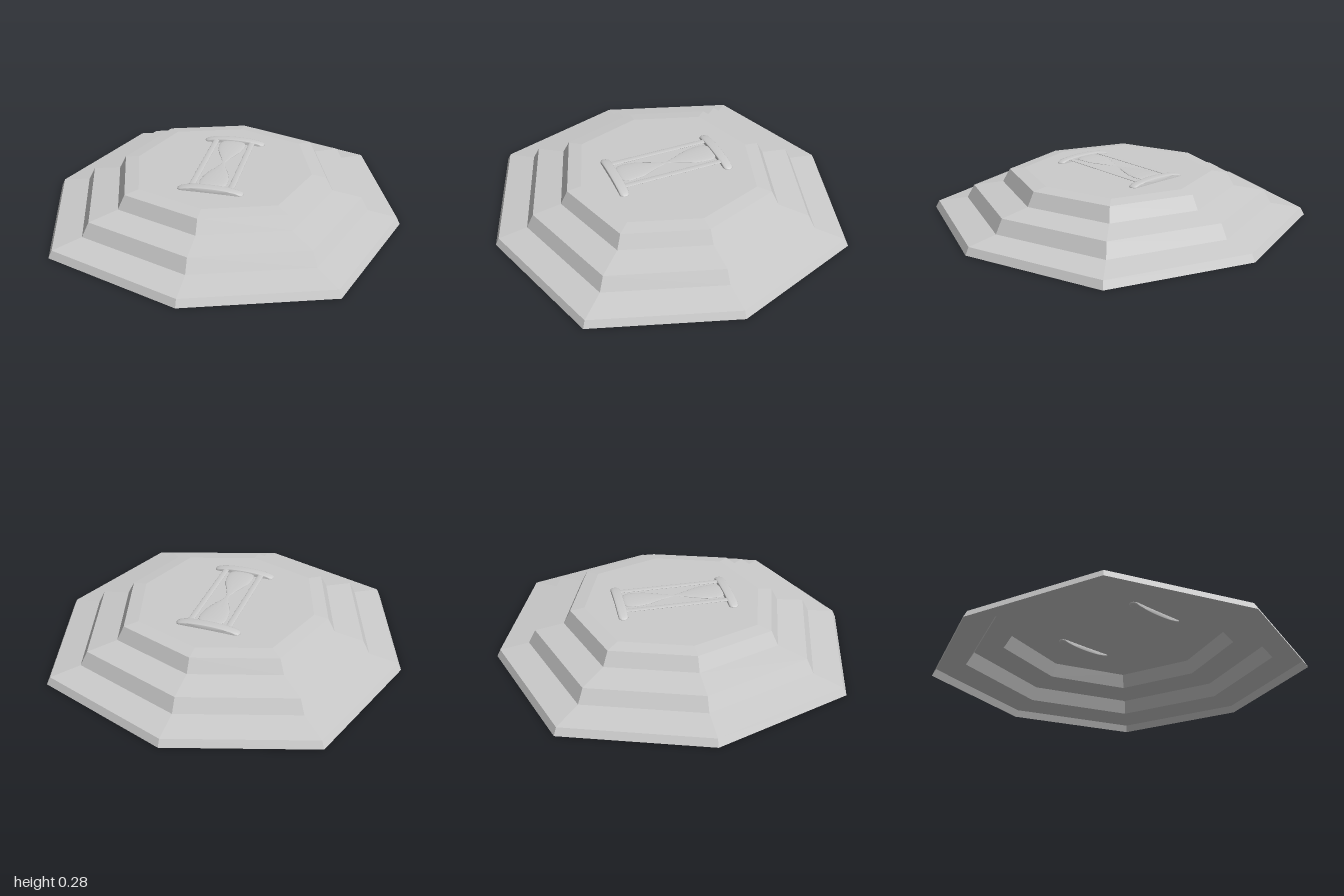
import * as THREE from 'three';
import { toCreasedNormals } from 'three/addons/utils/BufferGeometryUtils.js';

const grey = new THREE.MeshStandardMaterial({ color: 0xcccccc, side: THREE.DoubleSide });
const flatGrey = new THREE.MeshStandardMaterial({ color: 0xcccccc, side: THREE.DoubleSide, flatShading: true });
const points = (list) => list.map(([r, y]) => new THREE.Vector2(r, y));

// Round profile turned about z, then flattened in y to make a low relief
function relief(name, profile, segments, flatten, y, z = 0) {
  const geo = new THREE.LatheGeometry(points(profile), segments);
  geo.rotateX(Math.PI / 2);
  const creased = toCreasedNormals(geo, 0.7);
  creased.scale(1, flatten, 1);
  const mesh = new THREE.Mesh(creased, grey);
  mesh.name = name;
  mesh.position.set(0, y, z);
  return mesh;
}

export function createModel() {
  const model = new THREE.Group();
  model.name = 'hourglassPlate';

  // Stepped octagonal shell, open underneath, corners pushed out on the diagonals
  const shell = new THREE.LatheGeometry(points([
    [1, 0], [0.98, 0.04], [0.82, 0.065], [0.78, 0.14],
    [0.62, 0.165], [0.58, 0.24], [0.5, 0.25], [0, 0.25],
  ]), 8);
  const pos = shell.attributes.position;
  for (let i = 0; i < pos.count; i++) {
    const x = pos.getX(i), z = pos.getZ(i);
    if (Math.abs(x) > 0.01 && Math.abs(z) > 0.01) {
      const k = 0.75 * Math.SQRT2;
      pos.setX(i, x * k);
      pos.setZ(i, z * k);
    }
  }
  const base = new THREE.Mesh(shell.toNonIndexed(), flatGrey);
  base.geometry.computeVertexNormals();
  base.name = 'steppedBase';
  model.add(base);

  const hourglass = new THREE.Group();
  hourglass.name = 'hourglass';
  model.add(hourglass);

  // End discs with rounded rims, sunk halfway through the top
  const rim = [[0, -0.024], [0.155, -0.026]];
  for (let i = 0; i <= 8; i++) {
    const a = -Math.PI / 2 + (i / 8) * Math.PI;
    rim.push([0.157 + 0.024 * Math.cos(a), 0.026 * Math.sin(a)]);
  }
  rim.push([0.155, 0.026], [0, 0.024]);
  for (const s of [-1, 1]) {
    hourglass.add(relief(s > 0 ? 'frontDisc' : 'backDisc', rim, 40, 0.15, 0.25, s * 0.308));
  }

  // Two glass bulbs meeting at a narrow neck
  const half = [[0.006, 0], [0.013, 0.025], [0.03, 0.065], [0.05, 0.11], [0.066, 0.155],
    [0.074, 0.2], [0.077, 0.24], [0.07, 0.268], [0.055, 0.28], [0, 0.283]];
  const glass = [...half.slice(1).reverse().map(([r, y]) => [r, -y]), ...half];
  hourglass.add(relief('glass', glass, 32, 0.09, 0.265));

  // Side posts between the discs
  for (const s of [-1, 1]) {
    const geo = new THREE.CylinderGeometry(0.017, 0.017, 0.58, 16);
    geo.rotateX(Math.PI / 2);
    geo.scale(1, 0.2, 1);
    const post = new THREE.Mesh(geo, grey);
    post.name = s > 0 ? 'leftPost' : 'rightPost';
    post.position.set(s * 0.107, 0.265, 0);
    hourglass.add(post);
  }

  return model;
}
